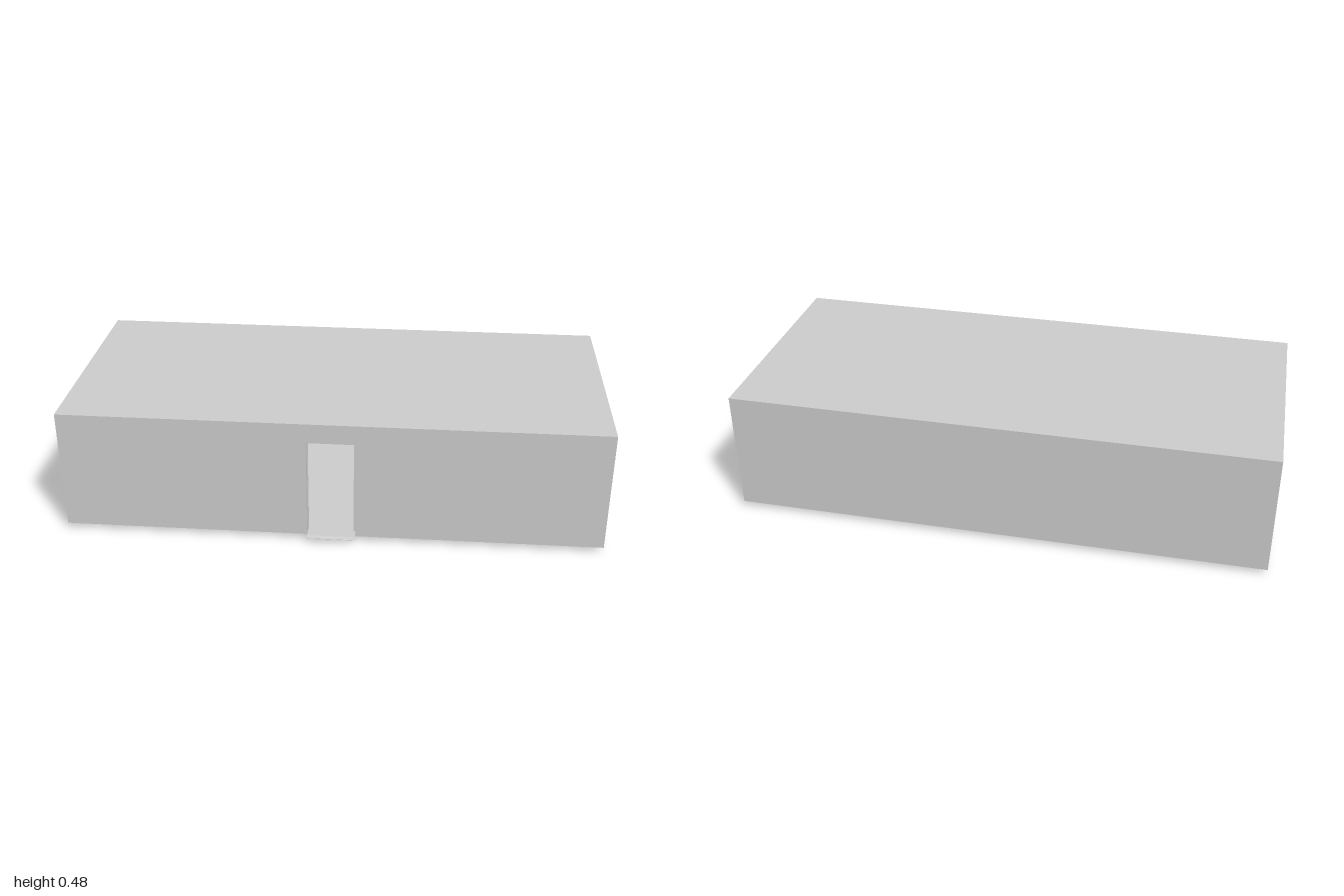
import * as THREE from 'three';

const W = 1, BACK = -0.46, FRONT = 0.43, FLOOR = 0.02, TOP = 0.48, T = 0.03;

export function createModel() {
  const group = new THREE.Group();
  const material = new THREE.MeshStandardMaterial({ color: 0xcccccc, flatShading: true });

  const add = (name, geometry) => {
    const mesh = new THREE.Mesh(geometry, material);
    mesh.name = name;
    group.add(mesh);
    return mesh;
  };
  // Box given by its lower and upper corners
  const block = (name, [x0, y0, z0], [x1, y1, z1]) =>
    add(name, new THREE.BoxGeometry(x1 - x0, y1 - y0, z1 - z0)
      .translate((x0 + x1) / 2, (y0 + y1) / 2, (z0 + z1) / 2));
  // Outline extruded to a given depth
  const extrude = (points, depth) => new THREE.ExtrudeGeometry(
    new THREE.Shape(points.map(([x, y]) => new THREE.Vector2(x, y))),
    { depth, bevelEnabled: false });

  // Inset base, whose top is the room floor
  block('base', [-W + T, 0, BACK + T], [W - T, FLOOR, FRONT - T]);

  // Flat roof slab
  block('roof', [-W, TOP - T, BACK], [W, TOP, FRONT]);

  // Side and back walls
  for (const s of [-1, 1]) {
    const x = s * (W - T / 2);
    block(s > 0 ? 'leftWall' : 'rightWall',
      [x - T / 2, FLOOR, BACK], [x + T / 2, TOP - T, FRONT]);
  }
  block('backWall', [-W + T, FLOOR, BACK], [W - T, TOP - T, BACK + T]);

  // Front wall in two layers; the inner layer forms a narrow door stop
  const frontLayer = (name, left, right, head, z, depth) => add(name, extrude([
    [-W + T, FLOOR], [left, FLOOR], [left, head], [right, head],
    [right, FLOOR], [W - T, FLOOR], [W - T, TOP - T], [-W + T, TOP - T],
  ], depth)).position.z = z;
  frontLayer('frontWall', -0.09, 0.09, 0.405, FRONT - 0.025, 0.025);
  frontLayer('doorStop', -0.086, 0.081, 0.396, FRONT - T, 0.005);

  // Doorstep with a sloping nose, profile drawn in (z, y)
  const sill = add('doorSill', extrude([
    [FRONT - T, FLOOR], [0.46, FLOOR], [0.46, FLOOR + 0.001],
    [0.445, 0.025], [FRONT - T, 0.025],
  ], 0.178));
  sill.rotation.y = -Math.PI / 2;
  sill.position.x = 0.089;

  return group;
}
